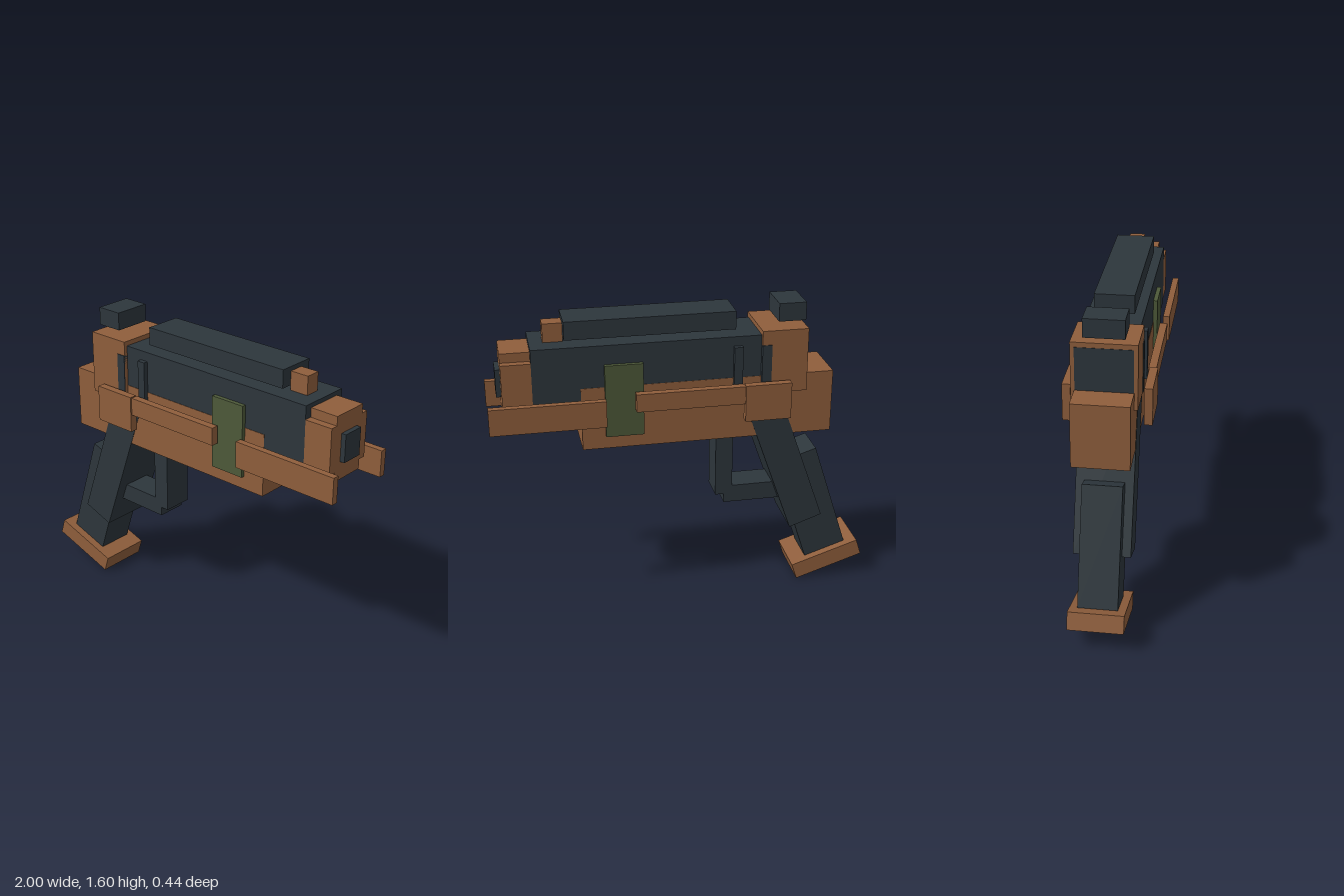
import * as THREE from 'three';

const brown = new THREE.MeshStandardMaterial({ color: 0x8f5e3c });
brown.name = 'copper brown';
const dark = new THREE.MeshStandardMaterial({ color: 0x2d363c });
dark.name = 'gunmetal';
const olive = new THREE.MeshStandardMaterial({ color: 0x4d5939 });
olive.name = 'olive green';

export function createModel() {
  const model = new THREE.Group();
  model.name = 'blasterPistol';

  // Box given by its limits on each axis
  const block = (name, mat, x0, x1, y0, y1, z0, z1) => {
    const mesh = new THREE.Mesh(new THREE.BoxGeometry(x1 - x0, y1 - y0, z1 - z0), mat);
    mesh.position.set((x0 + x1) / 2, (y0 + y1) / 2, (z0 + z1) / 2);
    mesh.name = name;
    model.add(mesh);
    return mesh;
  };
  // Box centred across the depth
  const centred = (name, mat, x0, x1, y0, y1, half) => block(name, mat, x0, x1, y0, y1, -half, half);
  // Same box on both sides
  const pair = (name, mat, x0, x1, y0, y1, z0, z1) => {
    block(name + 'Front', mat, x0, x1, y0, y1, z0, z1);
    block(name + 'Back', mat, x0, x1, y0, y1, -z1, -z0);
  };
  // Box leaning with the grip
  const leaning = (name, mat, x, y, w, h, half, degrees) => {
    const mesh = centred(name, mat, x - w / 2, x + w / 2, y - h / 2, y + h / 2, half);
    mesh.rotation.z = -THREE.MathUtils.degToRad(degrees);
  };

  // Receiver
  centred('lowerBody', brown, -0.775, 0.535, 0.905, 1.24, 0.142);
  centred('slide', dark, -0.632, 0.775, 1.13, 1.46, 0.14);
  centred('rearBlock', brown, -0.63, -0.39, 1.15, 1.485, 0.16);

  // Barrel end, stepped at the edges
  centred('barrelWide', brown, 0.775, 0.925, 1.15, 1.39, 0.14);
  centred('barrelTall', brown, 0.775, 0.925, 1.1, 1.438, 0.1);
  centred('muzzle', dark, 0.925, 0.95, 1.195, 1.34, 0.06);

  // Sights and top rail
  centred('topRail', dark, -0.265, 0.605, 1.485, 1.58, 0.1);
  centred('frontSight', brown, 0.605, 0.705, 1.46, 1.557, 0.04);
  centred('rearSight', dark, -0.63, -0.488, 1.51, 1.605, 0.1);

  // Side details
  centred('slideRib', dark, -0.29, -0.245, 1.15, 1.41, 0.165);
  centred('rearRib', dark, -0.44, -0.39, 1.15, 1.41, 0.164);
  centred('sidePanel', olive, 0.22, 0.415, 0.975, 1.36, 0.162);
  pair('forwardRail', brown, 0.415, 1.0, 1.05, 1.19, 0.175, 0.21);
  pair('middleRail', brown, -0.315, 0.265, 1.12, 1.215, 0.172, 0.212);
  pair('rearPlate', brown, -0.535, -0.295, 1.025, 1.22, 0.178, 0.22);

  // Trigger guard
  centred('guardPost', dark, -0.265, -0.173, 0.545, 0.906, 0.08);
  centred('guardBar', dark, -0.54, -0.22, 0.495, 0.592, 0.08);

  // Grip, magazine and base
  leaning('grip', dark, -0.527, 0.76, 0.186, 0.83, 0.144, 19.5);
  leaning('magazine', dark, -0.703, 0.45, 0.235, 0.62, 0.1, 18);
  leaning('basePlate', brown, -0.802, 0.105, 0.387, 0.092, 0.14, 18);

  return model;
}
